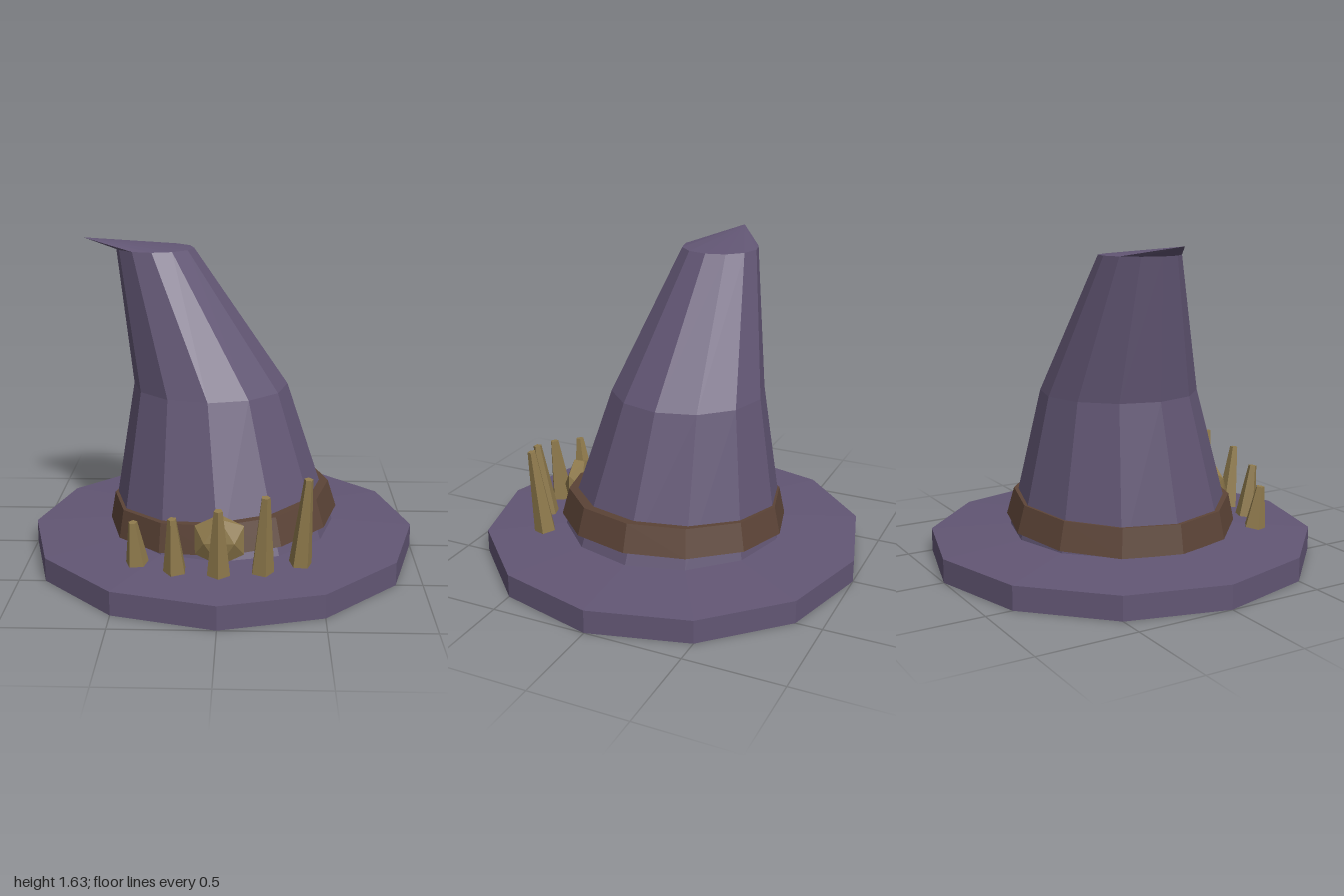
import * as THREE from 'three';

const SIDES = 12;
const flat = (color) => new THREE.MeshStandardMaterial({ color, flatShading: true });

export function createModel() {
  const hat = new THREE.Group();
  hat.name = 'wizardHat';
  const cloth = flat(0x625674);
  const leather = flat(0x5c4437);
  const gold = flat(0x8f7a4c);

  const add = (name, geometry, material, x = 0, y = 0, z = 0) => {
    const mesh = new THREE.Mesh(geometry, material);
    mesh.name = name;
    mesh.position.set(x, y, z);
    hat.add(mesh);
    return mesh;
  };
  const lathe = (points) =>
    new THREE.LatheGeometry(points.map(([r, y]) => new THREE.Vector2(r, y)), SIDES);

  // Brim: thick disc with a gently sloping top
  add('brim', lathe([[0, 0], [1, 0], [1, 0.12], [0.56, 0.15], [0, 0.15]]), cloth);

  // Crown: rings from the bent tip down to the brim, as [x, y, z, radius]
  const rings = [
    [-0.715, 1.63, -0.09, 0],
    [-0.35, 1.578, -0.1, 0.2],
    [-0.065, 0.88, -0.05, 0.4],
    [0, 0.14, 0, 0.583],
  ];
  const crown = new THREE.CylinderGeometry(1, 1, 1, SIDES, rings.length - 1, true);
  const pos = crown.attributes.position;
  for (let i = 0; i < pos.count; i++) {
    const [x, y, z, r] = rings[Math.floor(i / (SIDES + 1))];
    pos.setXYZ(i, x + pos.getX(i) * r, y, z + pos.getZ(i) * r);
  }
  crown.computeVertexNormals();
  add('crown', crown, cloth);

  // Band: tapered collar, tilted sideways
  const band = add('band',
    lathe([[0.5, 0], [0.6, 0], [0.565, 0.143], [0.5, 0.143]]), leather, 0, 0.185, 0);
  band.rotation.z = 0.067;

  // Gem: flattened faceted stone on the front of the band
  const gem = new THREE.IcosahedronGeometry(0.14, 0);
  gem.rotateY(Math.PI / 2);
  gem.scale(1, 1, 0.43);
  add('gem', gem, gold, 0, 0.263, 0.583);

  // Spikes: an arc of five, growing towards the left and leaning outward
  for (let i = 0; i < 5; i++) {
    const angle = (i - 2) * 0.3;
    const height = 0.22 + i * 0.0575;
    const spike = add('spike' + (i + 1), new THREE.CylinderGeometry(0.022, 0.058, height, 5), gold,
      Math.sin(angle) * 0.72, 0.14 + height / 2, Math.cos(angle) * 0.72);
    spike.rotation.set(0.12, angle, 0, 'YXZ');
  }
  return hat;
}
